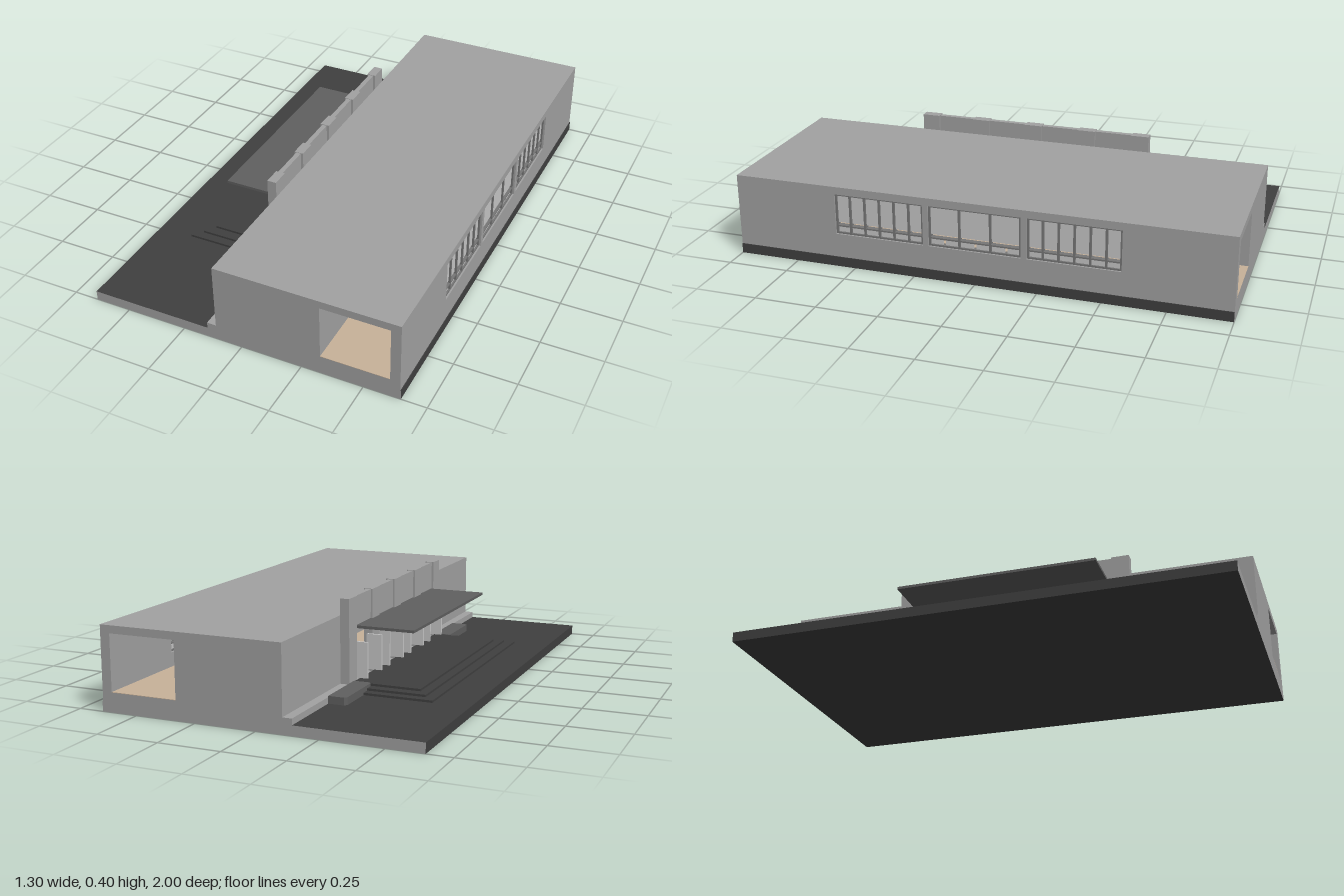
import * as THREE from 'three';

const mat = (name, hex, side = THREE.FrontSide) => {
  const m = new THREE.MeshStandardMaterial({ color: hex, side });
  m.name = name;
  return m;
};

export function createModel() {
  const wall = mat('wall grey', 0xa2a2a2);
  const dark = mat('dark paving', 0x404040);
  const mid = mat('canopy grey', 0x606060);
  const pale = mat('pale panel', 0xc8c8c8);
  const wood = mat('wood floor', 0xc8b29a);
  const frameGrey = mat('frame grey', 0x777777);

  const model = new THREE.Group();
  model.name = 'pavilion';

  // Box given by its limits on each axis
  const box = (name, material, [x0, x1], [y0, y1], [z0, z1], parent = model) => {
    const mesh = new THREE.Mesh(new THREE.BoxGeometry(x1 - x0, y1 - y0, z1 - z0), material);
    mesh.position.set((x0 + x1) / 2, (y0 + y1) / 2, (z0 + z1) / 2);
    mesh.name = name;
    parent.add(mesh);
    return mesh;
  };

  // Ground slab: dark paving with grey end faces
  box('groundSlab', [dark, dark, dark, dark, wall, wall], [-0.648, 0.648], [0, 0.04], [-1, 1]);

  // Building shell around a corridor that runs right through
  box('floorBase', wall, [-0.108, 0.645], [0.04, 0.078], [-1, 1]);
  box('roof', wall, [-0.108, 0.645], [0.305, 0.336], [-1, 1]);
  box('curb', wall, [-0.146, -0.108], [0.04, 0.065], [-1, 1]);
  box('corridorFloor', wood, [0.328, 0.605], [0.078, 0.08], [-1, 1]);
  box('lobbyFloor', wood, [-0.108, 0.328], [0.078, 0.08], [-0.5, 0.5]);
  for (const s of [-1, 1]) {
    box('sideWing', wall, [-0.108, 0.328], [0.078, 0.305], s < 0 ? [-1, -0.5] : [0.5, 1]);
  }

  // Small ceiling rail
  const rail = new THREE.Mesh(new THREE.CylinderGeometry(0.008, 0.008, 1.2, 3), frameGrey);
  rail.rotation.x = Math.PI / 2;
  rail.position.set(0.49, 0.303, 0);
  rail.name = 'ceilingRail';
  model.add(rail);

  // Window wall with three wide holes
  const windows = [[-0.577, -0.209, 6], [-0.187, 0.187, 3], [0.209, 0.577, 6]];
  const bottom = 0.138, top = 0.305;
  const shape = new THREE.Shape([
    new THREE.Vector2(-1, 0.078), new THREE.Vector2(1, 0.078),
    new THREE.Vector2(1, 0.306), new THREE.Vector2(-1, 0.306),
  ]);
  for (const [a, b] of windows) {
    shape.holes.push(new THREE.Path([
      new THREE.Vector2(a, bottom), new THREE.Vector2(a, top),
      new THREE.Vector2(b, top), new THREE.Vector2(b, bottom),
    ]));
  }
  const wallGeo = new THREE.ExtrudeGeometry(shape, { depth: 0.04, bevelEnabled: false });
  wallGeo.rotateY(Math.PI / 2);
  const windowWall = new THREE.Mesh(wallGeo, wall);
  windowWall.position.x = 0.605;
  windowWall.name = 'windowWall';
  model.add(windowWall);

  // Window frames, upper panes and low panes with an open gap between
  for (const [a, b, count] of windows) {
    const g = new THREE.Group();
    g.name = 'window';
    model.add(g);
    const fx = [0.616, 0.638], px = [0.623, 0.631];
    box('frameTop', frameGrey, fx, [top - 0.007, top], [a, b], g);
    box('frameSill', frameGrey, fx, [bottom, bottom + 0.007], [a, b], g);
    box('frameRail', frameGrey, fx, [0.168, 0.174], [a, b], g);
    const w = (b - a) / count;
    for (let i = 0; i <= count; i++) {
      const z = Math.min(Math.max(a + i * w, a + 0.004), b - 0.004);
      box('frameBar', frameGrey, fx, [bottom, top], [z - 0.004, z + 0.004], g);
      if (i < count) box('upperPane', pale, px, [0.184, top - 0.007], [a + i * w + 0.005, a + (i + 1) * w - 0.005], g);
    }
    const lw = (b - a) / 6;
    for (let i = 0; i < 6; i++) {
      box('lowerPane', pale, px, [bottom + 0.007, 0.168], [a + i * lw + 0.005, a + (i + 1) * lw - 0.005], g);
    }
  }

  // Entrance pillars
  const pillars = [-0.465, -0.235, 0, 0.235, 0.465];
  const half = 0.037;
  for (const z of pillars) {
    box('pillar', wall, [-0.146, -0.108], [0.065, 0.402], [z - half, z + half]);
  }

  // Header panels and open door leaves in each bay
  for (let i = 0; i < 4; i++) {
    const a = pillars[i] + half, b = pillars[i + 1] - half;
    box('headerPanel', wall, [-0.138, -0.118], [0.25, 0.4], [a, b]);
    for (const z of [a + 0.006, b - 0.006]) {
      box('doorLeaf', pale, [-0.19, -0.125], [0.075, 0.22], [z - 0.005, z + 0.005]);
    }
  }

  // Canopy
  box('canopy', mid, [-0.38, -0.138], [0.272, 0.283], [-0.42, 0.42]);

  // Entrance steps
  [[-0.5, 0.535, 0.049], [-0.46, 0.5, 0.058], [-0.424, 0.46, 0.067]].forEach(([x, z, y]) => {
    box('step', dark, [x, -0.146], [0.04, y], [-z, z]);
  });

  // Low side benches with clipped outer corners
  for (const s of [-1, 1]) {
    const outline = new THREE.Shape([[-0.146, -0.12], [-0.146, 0.12], [-0.21, 0.12], [-0.22, 0.11], [-0.22, -0.11], [-0.21, -0.12]]
      .map(([x, y]) => new THREE.Vector2(x, y)));
    const geo = new THREE.ExtrudeGeometry(outline, { depth: 0.03, bevelEnabled: false });
    geo.rotateX(-Math.PI / 2);
    const bench = new THREE.Mesh(geo, mid);
    bench.position.set(0, 0.04, s * 0.577);
    bench.name = 'sideBench';
    model.add(bench);
  }

  return model;
}
